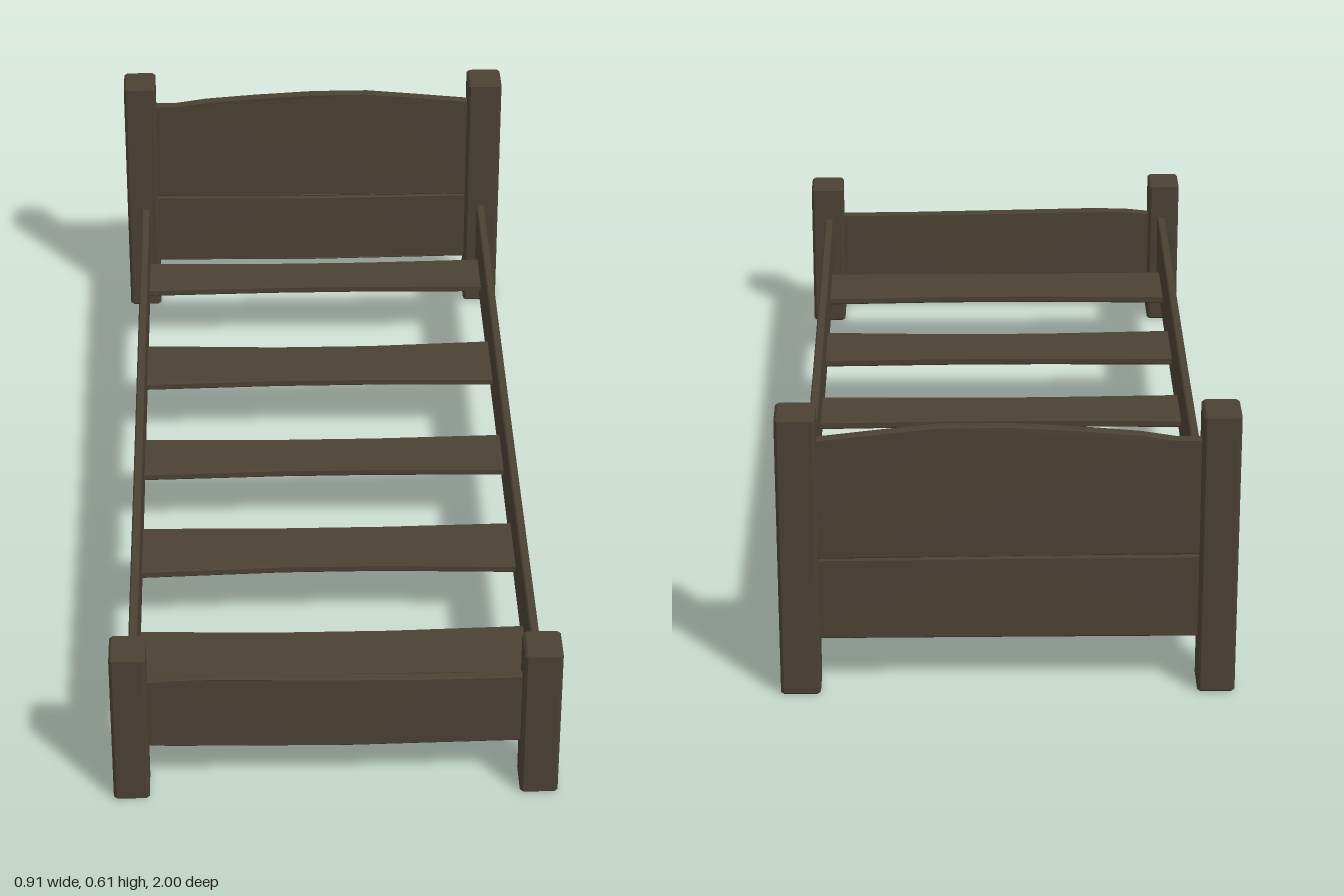
import * as THREE from 'three';

const wood = new THREE.MeshStandardMaterial({ color: 0x4b4134 });
wood.name = 'darkWood';

// Extrudes an outline by a total depth centred on 0, with a small worn bevel
function bevelled(points, depth, bevel) {
  const shape = new THREE.Shape(points.map(([x, y]) => new THREE.Vector2(x, y)));
  const geo = new THREE.ExtrudeGeometry(shape, {
    depth: depth - 2 * bevel, steps: 1, bevelEnabled: true, bevelSegments: 1,
    bevelThickness: bevel, bevelSize: bevel, bevelOffset: -bevel,
  });
  return geo.translate(0, 0, bevel - depth / 2);
}

export function createModel() {
  const bed = new THREE.Group();
  bed.name = 'bed';

  function add(name, geo, x, y, z) {
    const mesh = new THREE.Mesh(geo, wood);
    mesh.name = name;
    mesh.position.set(x, y, z);
    bed.add(mesh);
    return mesh;
  }

  // Corner posts: square with chamfered edges
  function post(name, x, z, w, d, h) {
    const a = w / 2, b = d / 2, c = 0.006;
    const outline = [[-a + c, -b], [a - c, -b], [a, -b + c], [a, b - c],
      [a - c, b], [-a + c, b], [-a, b - c], [-a, -b + c]];
    const geo = bevelled(outline, h, 0.005).rotateX(-Math.PI / 2);
    add(name, geo, x, h / 2, z);
  }
  post('headPostRight', -0.418, -0.957, 0.075, 0.085, 0.608);
  post('headPostLeft', 0.412, -0.957, 0.08, 0.085, 0.606);
  post('footPostRight', -0.418, 0.957, 0.073, 0.085, 0.357);
  post('footPostLeft', 0.411, 0.957, 0.077, 0.085, 0.352);

  // Upright boards between the posts, bowed slightly in z
  function board(name, points, z, bow) {
    const geo = bevelled(points, 0.02, 0.003);
    const p = geo.attributes.position;
    for (let i = 0; i < p.count; i++) {
      p.setZ(i, p.getZ(i) + bow * (1 - (p.getX(i) / 0.4) ** 2));
    }
    geo.computeVertexNormals();
    add(name, geo, 0, 0, z);
  }
  board('headboardUpper', [[-0.4, 0.292], [-0.05, 0.289], [0.4, 0.287], [0.4, 0.546], [0.37, 0.547],
    [0.25, 0.56], [0.13, 0.572], [0, 0.572], [-0.14, 0.564], [-0.26, 0.554], [-0.33, 0.543], [-0.4, 0.542]],
  -0.957, 0.004);
  board('headboardLower', [[-0.4, 0.11], [0, 0.108], [0.4, 0.11], [0.4, 0.286], [0, 0.286], [-0.32, 0.288], [-0.4, 0.29]],
    -0.957, 0.004);
  board('footboard', [[-0.4, 0.11], [-0.34, 0.107], [0.02, 0.104], [0.4, 0.107], [0.4, 0.272],
    [0.2, 0.272], [0, 0.275], [-0.25, 0.28], [-0.33, 0.278], [-0.4, 0.271]], 0.952, 0.004);

  // Long side rails with slightly sagging top edges
  for (const [name, x] of [['sideRailRight', -0.412], ['sideRailLeft', 0.408]]) {
    const geo = bevelled([[-0.93, 0.112], [0, 0.114], [0.93, 0.112], [0.93, 0.274],
      [0.35, 0.27], [0, 0.266], [-0.35, 0.268], [-0.93, 0.272]], 0.018, 0.003);
    add(name, geo.rotateY(Math.PI / 2), x, 0, 0);
  }

  // Slats: [centre z, back edge at ends / middle, front edge at ends / middle]
  const slats = [[-0.833, -0.826, -0.708, -0.714], [-0.458, -0.445, -0.292, -0.3],
    [-0.062, -0.055, 0.077, 0.07], [0.284, 0.29, 0.446, 0.434], [0.656, 0.665, 0.81, 0.808]];
  slats.forEach(([backEnd, backMid, frontEnd, frontMid], i) => {
    const geo = bevelled([[-0.405, backEnd], [-0.1, backMid], [0.12, backMid], [0.405, backEnd],
      [0.405, frontEnd], [0.12, frontMid], [-0.1, frontMid], [-0.405, frontEnd]], 0.018, 0.003);
    add('slat' + (i + 1), geo.rotateX(Math.PI / 2), 0, 0.16, 0);
  });

  return bed;
}
